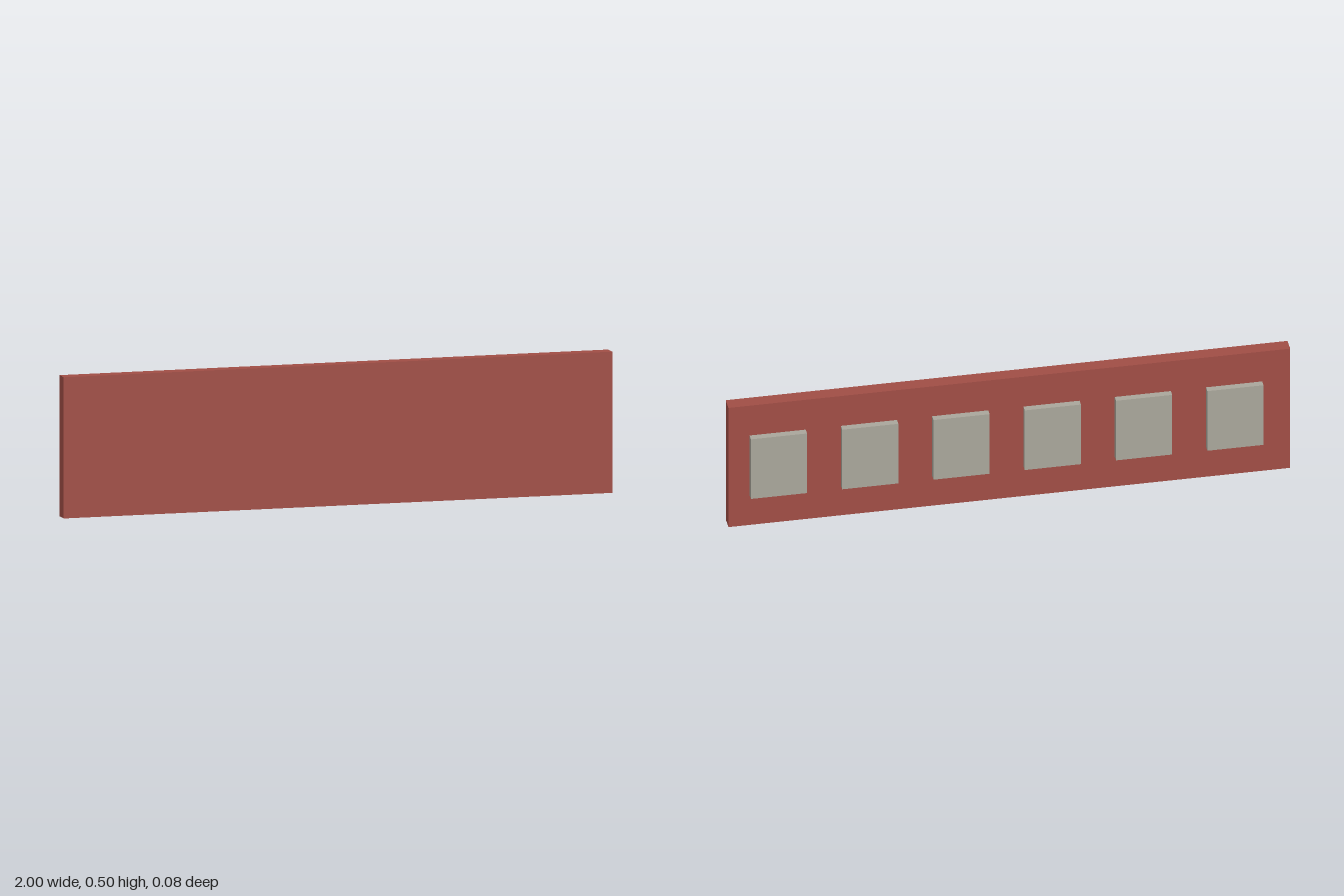
import * as THREE from 'three';

const brickRed = new THREE.MeshStandardMaterial({ name: 'brickRed', color: 0xa04d45 });
const stoneGrey = new THREE.MeshStandardMaterial({ name: 'stoneGrey', color: 0xa9a69b });

function box(name, size, position, material) {
  const mesh = new THREE.Mesh(new THREE.BoxGeometry(...size), material);
  mesh.name = name;
  mesh.position.set(...position);
  return mesh;
}

export function createModel() {
  const model = new THREE.Group();
  model.name = 'panelledWall';

  // Long upright slab
  model.add(box('wallSlab', [2, 0.5, 0.05], [0, 0.25, 0.0125], brickRed));

  // Row of raised panels on the back, slightly off centre
  const panels = new THREE.Group();
  panels.name = 'backPanels';
  for (let i = 0; i < 6; i++) {
    panels.add(box(`backPanel${i + 1}`, [0.2, 0.25, 0.025], [-0.8 + i * 0.325, 0.25, -0.025], stoneGrey));
  }
  model.add(panels);

  return model;
}
